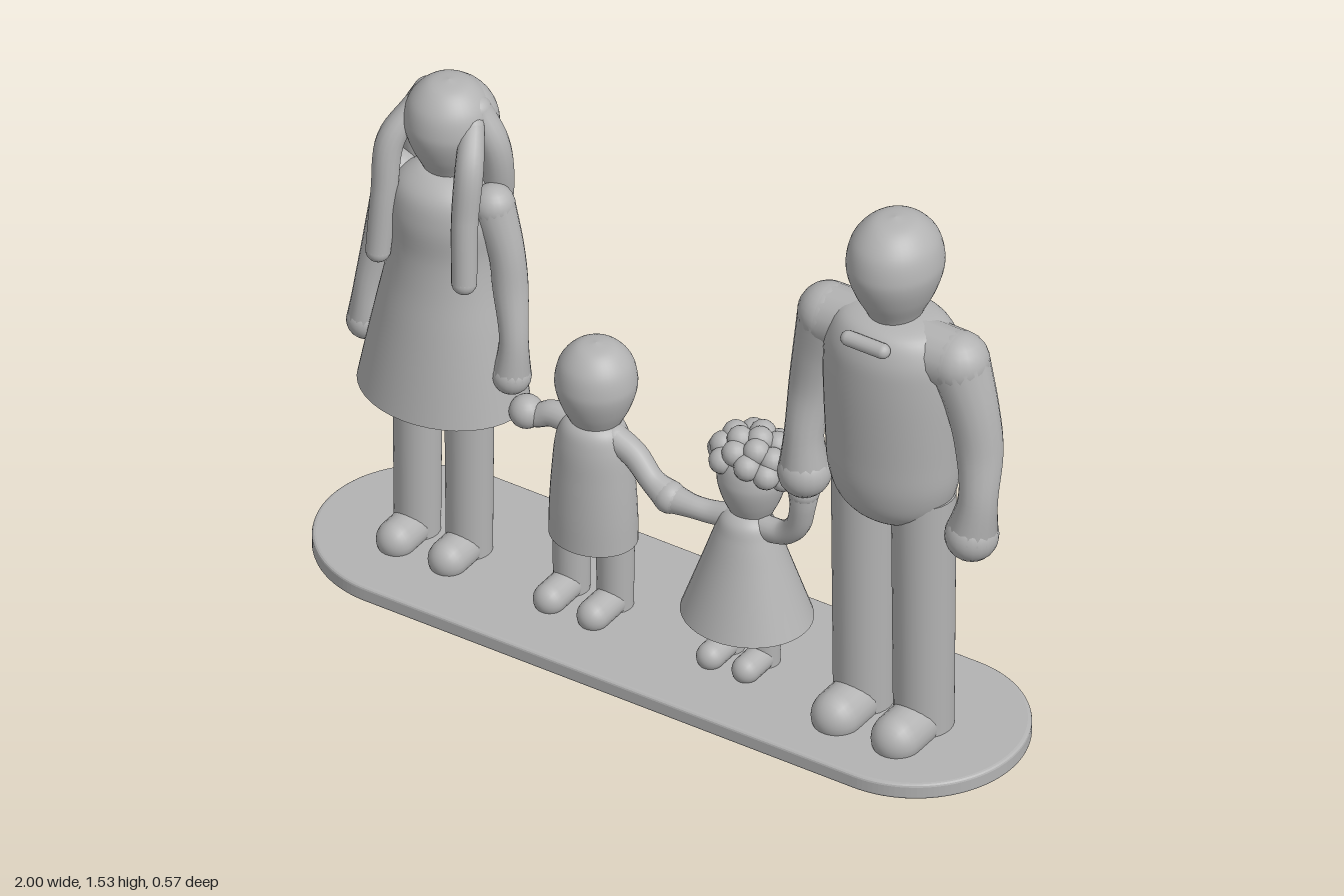
import * as THREE from 'three';

const stone = new THREE.MeshStandardMaterial({ color: 0xb3b3b3 });
stone.name = 'plain grey';

function add(parent, name, geometry, x = 0, y = 0, z = 0) {
  const mesh = new THREE.Mesh(geometry, stone);
  mesh.name = name;
  mesh.position.set(x, y, z);
  parent.add(mesh);
  return mesh;
}

// Smooth body of revolution from [radius, height] pairs, flattened front to back
function turned(parent, name, profile, depth, z = 0) {
  const curve = new THREE.CatmullRomCurve3(profile.map(([r, y]) => new THREE.Vector3(r, y, 0)));
  const pts = curve.getPoints(profile.length * 5).map(p => new THREE.Vector2(Math.max(p.x, 0), p.y));
  const mesh = add(parent, name, new THREE.LatheGeometry(pts, 40), 0, 0, z);
  mesh.scale.z = depth;
  return mesh;
}

// Flat underside that closes a hem
function underside(parent, name, r, y, depth) {
  add(parent, name, new THREE.CircleGeometry(r, 40).rotateX(Math.PI / 2).scale(1, 1, depth), 0, y, 0);
}

// Round limb through [x, y, z, radius] stations with ball ends
function limb(parent, name, stations) {
  const group = new THREE.Group();
  group.name = name;
  parent.add(group);
  const curve = new THREE.CatmullRomCurve3(stations.map(s => new THREE.Vector3(s[0], s[1], s[2])));
  const radii = new THREE.CatmullRomCurve3(stations.map((s, i) => new THREE.Vector3(s[3], i, 0)));
  const rings = 24, sides = 16;
  const geo = new THREE.TubeGeometry(curve, rings, 1, sides);
  const pos = geo.attributes.position, v = new THREE.Vector3();
  for (let i = 0; i <= rings; i++) {
    const c = curve.getPointAt(i / rings);
    const r = radii.getPoint(curve.getUtoTmapping(i / rings)).x;
    for (let j = 0; j <= sides; j++) {
      const k = i * (sides + 1) + j;
      v.fromBufferAttribute(pos, k).sub(c).multiplyScalar(r).add(c);
      pos.setXYZ(k, v.x, v.y, v.z);
    }
  }
  add(group, name + 'Tube', geo);
  for (const s of [stations[0], stations[stations.length - 1]]) {
    add(group, name + 'End', new THREE.SphereGeometry(s[3], 20, 14), s[0], s[1], s[2]);
  }
}

// Same limb on both sides
function pair(parent, name, stations) {
  limb(parent, 'left' + name, stations);
  limb(parent, 'right' + name, stations.map(([x, y, z, r]) => [-x, y, z, r]));
}

// Egg-shaped head running down into the neck
function head(parent, r, top, bottom, depth, z) {
  const h = top - bottom;
  const shape = [[0.5, 0], [0.6, 0.1], [0.83, 0.29], [0.98, 0.48], [1, 0.6], [0.87, 0.8], [0.5, 0.955], [0, 1]];
  turned(parent, 'head', shape.map(([a, b]) => [a * r, bottom + b * h]), depth, z);
}

// Legs with rounded shoes
function legs(parent, x, r, top, footR, toe) {
  for (const s of [-1, 1]) {
    const side = s > 0 ? 'left' : 'right';
    add(parent, side + 'Leg', new THREE.CylinderGeometry(r * 1.04, r * 0.97, top - 0.03, 28), s * x, (top + 0.03) / 2, 0);
    const len = toe - footR;
    add(parent, side + 'Foot', new THREE.CapsuleGeometry(footR, len, 8, 20).rotateX(Math.PI / 2),
      s * x, 0.066, len / 2);
  }
}

function person(parent, name, x) {
  const g = new THREE.Group();
  g.name = name;
  g.position.x = x;
  parent.add(g);
  return g;
}

function createModel() {
  const model = new THREE.Group();
  model.name = 'familyFigurine';

  // Stadium-shaped base
  const R = 0.275, L = 0.715;
  const outline = new THREE.Shape();
  outline.absarc(L, 0, R, -Math.PI / 2, Math.PI / 2);
  outline.absarc(-L, 0, R, Math.PI / 2, Math.PI * 1.5);
  add(model, 'base', new THREE.ExtrudeGeometry(outline, {
    depth: 0.029, bevelThickness: 0.008, bevelSize: 0.01, bevelSegments: 3, curveSegments: 32,
  }).rotateX(-Math.PI / 2), 0, 0.008, 0);

  // Man
  const man = person(model, 'man', 0.65);
  head(man, 0.119, 1.53, 1.23, 1.1, -0.008);
  turned(man, 'torso', [[0, 0.64], [0.09, 0.655], [0.145, 0.7], [0.172, 0.77], [0.18, 0.88], [0.185, 1.1],
    [0.175, 1.18], [0.14, 1.235], [0.07, 1.255], [0, 1.255]], 0.78);
  limb(man, 'shoulders', [[-0.185, 1.172, 0, 0.079], [0, 1.175, 0, 0.079], [0.185, 1.172, 0, 0.079]]);
  pair(man, 'Arm', [[0.19, 1.172, 0, 0.079], [0.225, 1.04, -0.01, 0.066], [0.245, 0.92, -0.01, 0.06],
    [0.255, 0.79, 0.012, 0.05], [0.245, 0.685, 0.025, 0.068]]);
  legs(man, 0.088, 0.078, 0.74, 0.065, 0.185);
  add(man, 'bowTie', new THREE.CapsuleGeometry(0.02, 0.1, 6, 16).rotateZ(Math.PI / 2), 0, 1.224, 0.127);

  // Woman
  const woman = person(model, 'woman', -0.67);
  head(woman, 0.112, 1.415, 1.14, 1, -0.025);
  turned(woman, 'dress', [[0.225, 0.505], [0.2, 0.63], [0.175, 0.75], [0.152, 0.86], [0.142, 0.95],
    [0.145, 1.05], [0.125, 1.12], [0.07, 1.16], [0, 1.17]], 0.81);
  underside(woman, 'dressUnderside', 0.225, 0.505, 0.81);
  pair(woman, 'Arm', [[0.14, 1.1, -0.01, 0.055], [0.175, 0.97, -0.015, 0.046], [0.19, 0.87, -0.01, 0.045],
    [0.213, 0.73, 0.01, 0.037], [0.213, 0.632, 0.02, 0.05]]);
  legs(woman, 0.076, 0.06, 0.6, 0.051, 0.145);
  // Long hair down the back and two front locks
  const back = add(woman, 'backHair', new THREE.SphereGeometry(1, 32, 24), 0, 1.06, -0.075);
  back.scale.set(0.12, 0.27, 0.072);
  const crown = add(woman, 'crownHair', new THREE.SphereGeometry(1, 32, 24), 0, 1.29, -0.05);
  crown.scale.set(0.117, 0.115, 0.098);
  pair(woman, 'SideHair', [[0.07, 1.34, -0.04, 0.04], [0.115, 1.25, -0.05, 0.04], [0.115, 1.12, -0.07, 0.04],
    [0.08, 0.95, -0.1, 0.035]]);
  pair(woman, 'FrontLock', [[0.085, 1.32, 0, 0.03], [0.115, 1.24, 0.06, 0.036], [0.118, 1.1, 0.085, 0.034],
    [0.126, 0.925, 0.1, 0.032]]);

  // Boy
  const boy = person(model, 'boy', -0.23);
  head(boy, 0.103, 0.8, 0.54, 1, -0.012);
  turned(boy, 'shirt', [[0.116, 0.23], [0.114, 0.32], [0.107, 0.43], [0.097, 0.52], [0.08, 0.565],
    [0.05, 0.585], [0, 0.59]], 0.85);
  underside(boy, 'shirtUnderside', 0.116, 0.23, 0.85);
  legs(boy, 0.064, 0.047, 0.28, 0.042, 0.14);
  limb(boy, 'rightArm', [[-0.06, 0.545, 0, 0.036], [-0.12, 0.545, 0, 0.034], [-0.165, 0.525, 0.005, 0.031],
    [-0.19, 0.53, 0.01, 0.044]]);
  limb(boy, 'leftArm', [[0.06, 0.545, 0, 0.036], [0.12, 0.515, 0, 0.034], [0.18, 0.465, 0.01, 0.032],
    [0.235, 0.443, 0.018, 0.042]]);

  // Girl
  const girl = person(model, 'girl', 0.22);
  head(girl, 0.087, 0.675, 0.44, 1, -0.022);
  turned(girl, 'dress', [[0.17, 0.172], [0.142, 0.25], [0.11, 0.34], [0.082, 0.42], [0.065, 0.46],
    [0.035, 0.48], [0, 0.483]], 0.9);
  underside(girl, 'dressUnderside', 0.17, 0.172, 0.9);
  legs(girl, 0.052, 0.04, 0.25, 0.036, 0.12);
  limb(girl, 'rightArm', [[-0.04, 0.445, 0, 0.033], [-0.1, 0.435, 0.005, 0.03], [-0.15, 0.437, 0.013, 0.03],
    [-0.205, 0.442, 0.018, 0.038]]);
  limb(girl, 'leftArm', [[0.04, 0.445, 0, 0.033], [0.11, 0.455, 0.003, 0.031], [0.155, 0.5, 0.01, 0.031],
    [0.175, 0.57, 0.018, 0.033], [0.18, 0.62, 0.02, 0.04]]);
  // Curls spread evenly over the skull, leaving the face free
  const curls = new THREE.Group();
  curls.name = 'curlyHair';
  curls.position.set(0, 0.598, -0.028);
  girl.add(curls);
  const count = 44;
  for (let i = 0; i < count; i++) {
    const y = 1 - (2 * i + 1) / count;
    const a = i * 2.39996;
    const r = Math.sqrt(1 - y * y);
    const z = r * Math.sin(a);
    if (y < (z > 0.2 ? 0.22 : -0.3)) continue;
    add(curls, 'curl', new THREE.SphereGeometry(0.034, 14, 10), r * Math.cos(a) * 0.095, y * 0.085, z * 0.08);
  }
  return model;
}

export { createModel };
